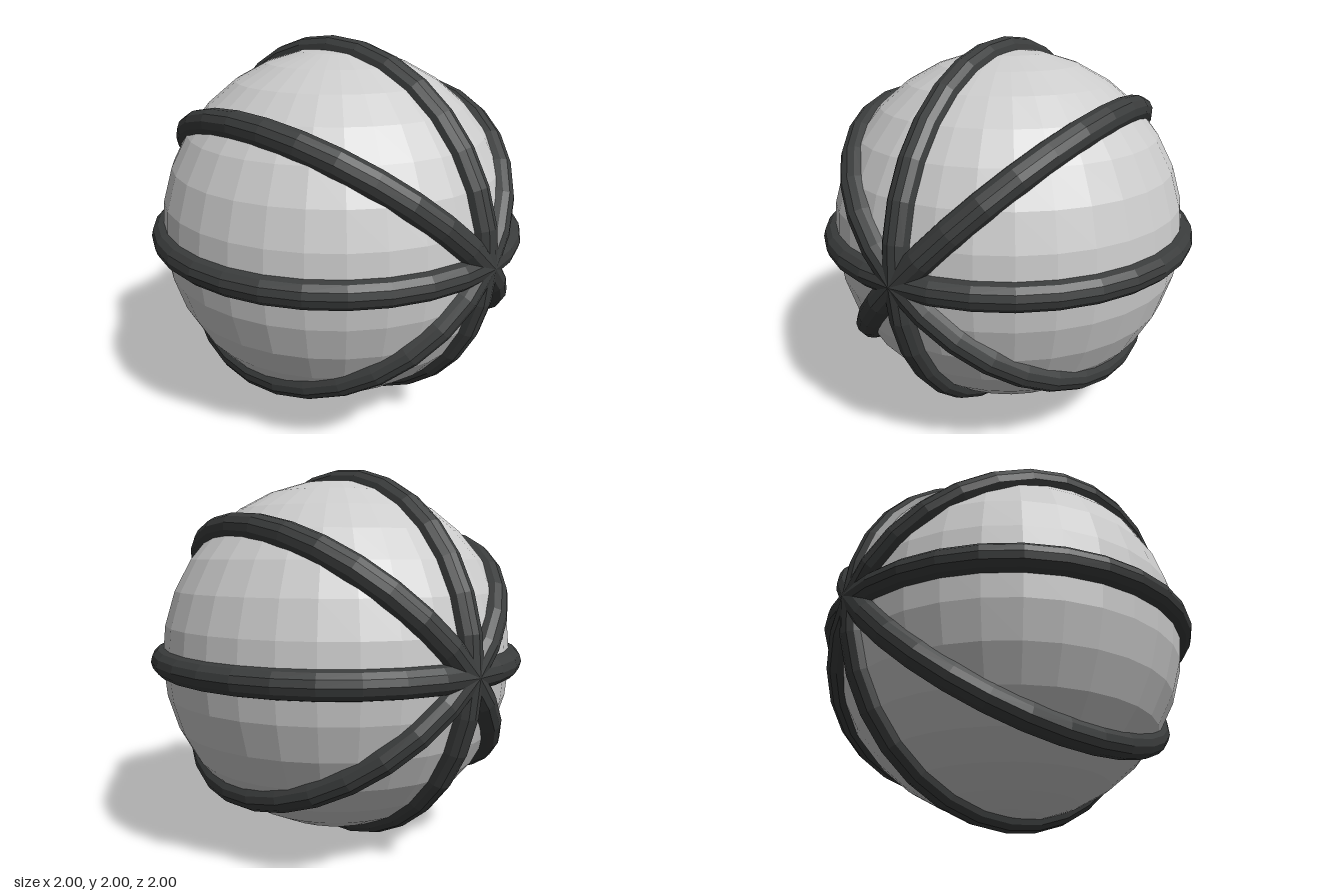
import * as THREE from 'three';

export function createModel() {
  const group = new THREE.Group();
  const grey = new THREE.MeshStandardMaterial({ color: 0xcccccc, flatShading: true });
  const dark = new THREE.MeshStandardMaterial({ color: 0x3a3c3c, flatShading: true });

  // Faceted ball
  const ball = new THREE.Mesh(new THREE.SphereGeometry(0.94, 32, 16), grey);
  ball.name = 'ball';
  ball.position.y = 1;
  group.add(ball);

  // Four seam rings that all cross at the left and right poles
  const ringGeometry = new THREE.TorusGeometry(0.93, 0.07, 12, 32);
  [0, 43.3, 88.7, 133.2].forEach((degrees, i) => {
    const ring = new THREE.Mesh(ringGeometry, dark);
    ring.name = `seamRing${i + 1}`;
    ring.position.y = 1;
    ring.rotation.x = THREE.MathUtils.degToRad(90 - degrees);
    group.add(ring);
  });

  return group;
}
